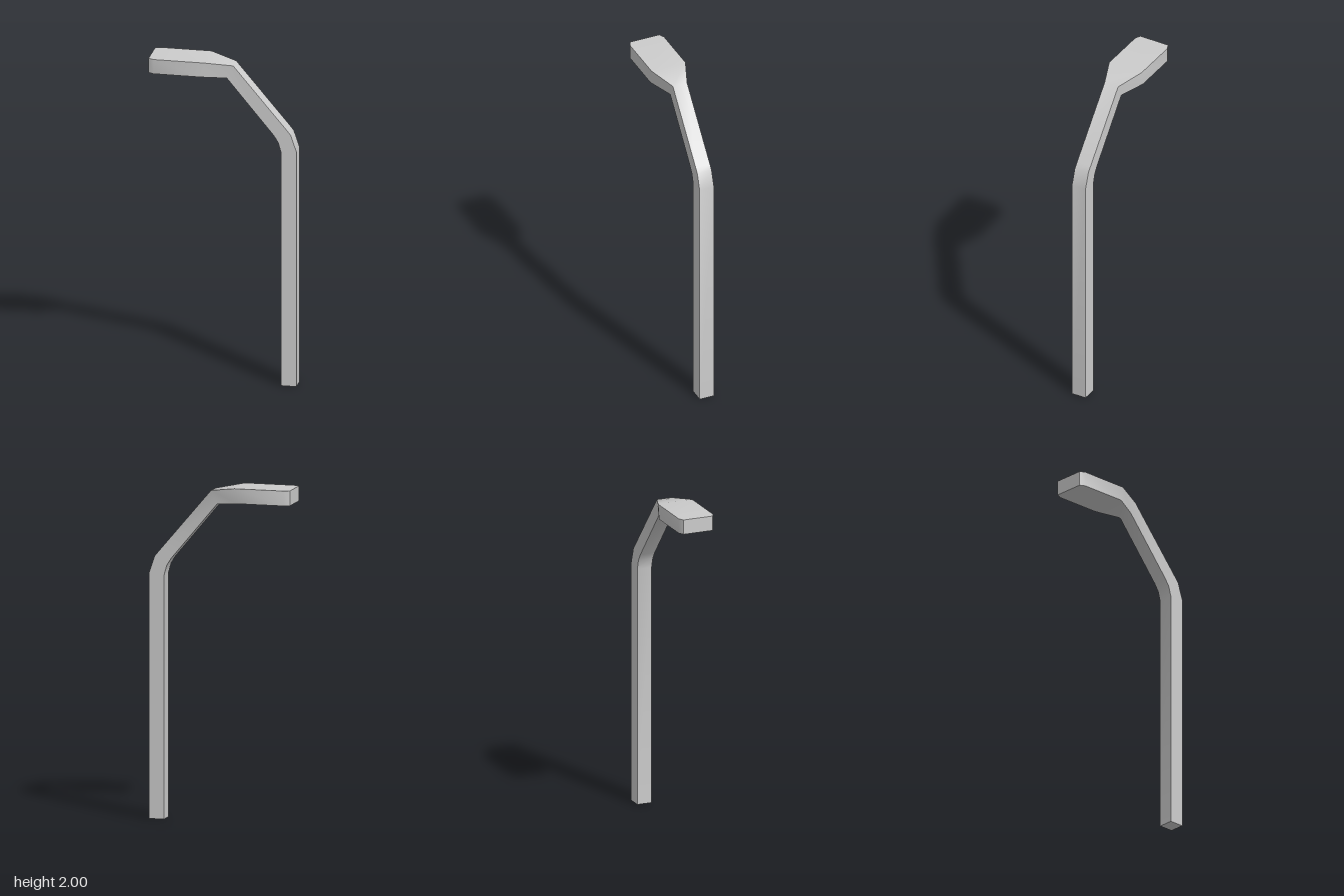
import * as THREE from 'three';
import { toCreasedNormals } from 'three/addons/utils/BufferGeometryUtils.js';

// Loft of rectangular sections: [outer x, outer y, inner x, inner y, half depth]
function loft(sections) {
  const pos = [], idx = [];
  for (const [ox, oy, ix, iy, w] of sections) {
    pos.push(ox, oy, w, ox, oy, -w, ix, iy, -w, ix, iy, w);
  }
  for (let i = 0; i < sections.length - 1; i++) {
    for (let j = 0; j < 4; j++) {
      const a = i * 4 + j, b = i * 4 + (j + 1) % 4;
      idx.push(a, b, b + 4, a, b + 4, a + 4);
    }
  }
  // end caps
  const e = (sections.length - 1) * 4;
  idx.push(0, 2, 1, 0, 3, 2, e, e + 1, e + 2, e, e + 2, e + 3);
  const g = new THREE.BufferGeometry();
  g.setAttribute('position', new THREE.Float32BufferAttribute(pos, 3));
  g.setIndex(idx);
  return toCreasedNormals(g, THREE.MathUtils.degToRad(45));
}

export function createModel() {
  const group = new THREE.Group();
  group.name = 'streetLamp';
  const r = 0.046, head = 0.11;

  // Pole, bent arm and flared lamp head form one continuous skin
  const sections = [
    // upright pole
    [0.437, 0, 0.345, 0, r],
    [0.437, 1.465, 0.345, 1.455, r],
    // rounded elbow
    [0.403, 1.565, 0.328, 1.515, r],
    [0.38, 1.593, 0.3, 1.558, r],
    // end of the sloping arm
    [0.058, 1.972, 0.02, 1.893, r],
    // flared lamp head with clipped tip
    [-0.105, 2, -0.12, 1.911, head],
    [-0.407, 2, -0.407, 1.911, head],
    [-0.44, 2, -0.44, 1.911, 0.094],
  ];
  const mesh = new THREE.Mesh(
    loft(sections),
    new THREE.MeshStandardMaterial({ color: 0xcccccc })
  );
  mesh.name = 'poleArmAndLampHead';
  group.add(mesh);
  return group;
}
